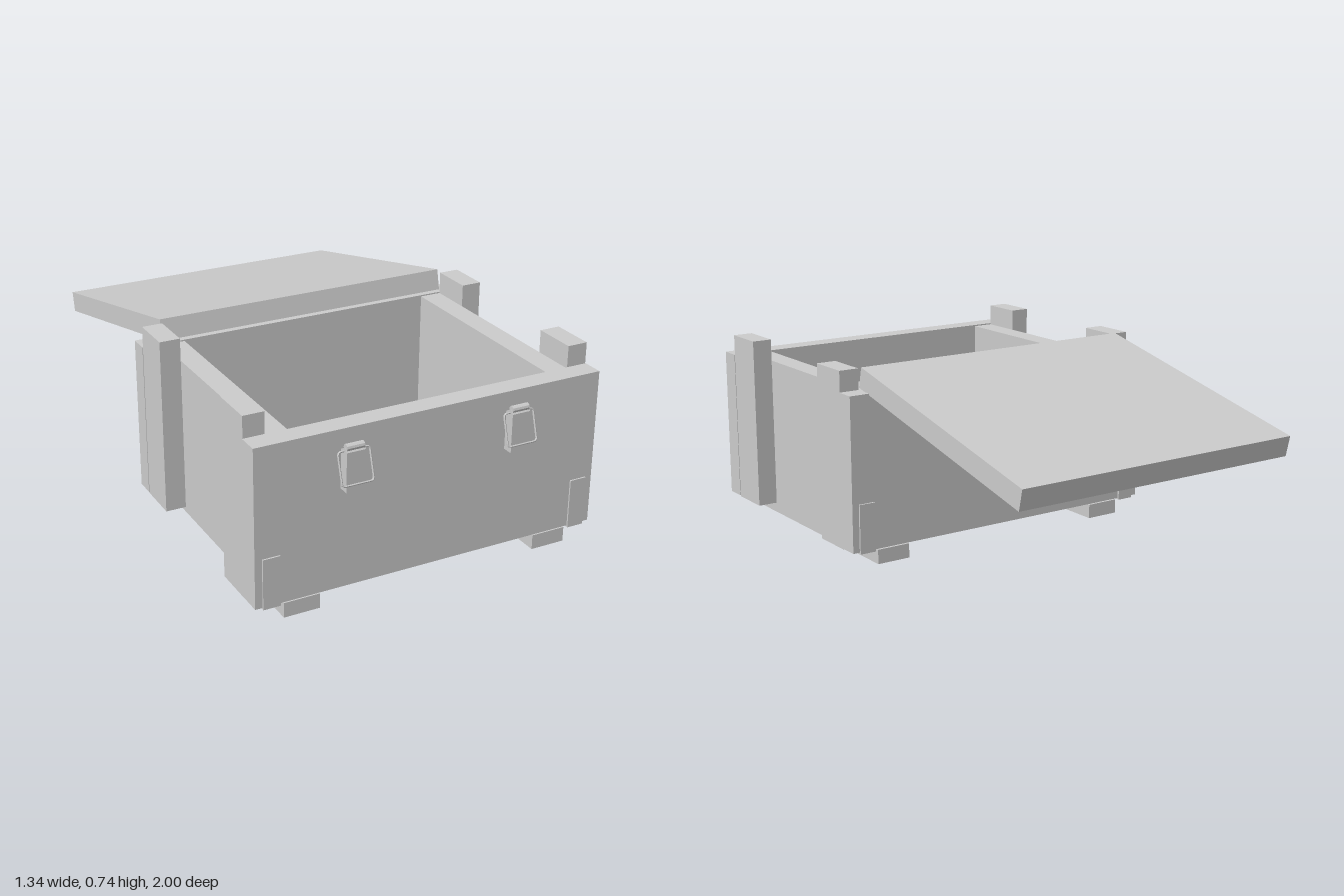
import * as THREE from 'three';

export function createModel() {
  const model = new THREE.Group();
  const mat = new THREE.MeshStandardMaterial({ color: 0xcccccc, flatShading: true });

  function add(name, geometry, parent = model) {
    const mesh = new THREE.Mesh(geometry, mat);
    mesh.name = name;
    parent.add(mesh);
    return mesh;
  }

  // Box given by its lower and upper limits on each axis
  function box(name, [x0, x1], [y0, y1], [z0, z1], parent = model) {
    const mesh = add(name, new THREE.BoxGeometry(x1 - x0, y1 - y0, z1 - z0), parent);
    mesh.position.set((x0 + x1) / 2, (y0 + y1) / 2, (z0 + z1) / 2);
    return mesh;
  }

  // Mirror an x range to the other side
  const range = (s, a, b) => (s > 0 ? [a, b] : [-b, -a]);

  // Front, back and bottom boards
  box('frontPanel', [-0.67, 0.67], [0.06, 0.65], [0.86, 0.94]);
  box('backPanel', [-0.67, 0.67], [0.06, 0.65], [-0.065, 0.01]);
  box('floor', [-0.505, 0.505], [0.06, 0.13], [0.01, 0.86]);

  for (const s of [1, -1]) {
    const side = s > 0 ? 'left' : 'right';
    box(side + 'Wall', range(s, 0.505, 0.59), [0.06, 0.645], [0.01, 0.86]);
    box(side + 'FrontPost', range(s, 0.59, 0.668), [0.056, 0.73], [0.692, 0.86]);
    box(side + 'BackPost', range(s, 0.59, 0.668), [0.056, 0.73], [0.01, 0.175]);
    box(side + 'Runner', range(s, 0.43, 0.565), [0, 0.056], [-0.065, 0.94]);

    // Thin metal straps folded under the front and back edges
    const strapX = range(s, 0.578, 0.643);
    box(side + 'FrontStrap', strapX, [0.054, 0.243], [0.94, 0.946]);
    box(side + 'FrontStrapFoot', strapX, [0.054, 0.06], [0.83, 0.946]);
    box(side + 'BackStrap', strapX, [0.054, 0.243], [-0.072, -0.065]);
    box(side + 'BackStrapFoot', strapX, [0.054, 0.06], [-0.072, 0.045]);

    model.add(createLatch(side, s * 0.32));
  }

  // Open lid, leaning back and down from its hinge edge
  const lid = add('lid', new THREE.BoxGeometry(1.18, 0.08, 1.01));
  lid.position.set(0, 0.587, -0.496);
  lid.rotation.x = -0.222;

  // Latch: mounting block, rolled pivot and a hanging wire loop
  function createLatch(side, x) {
    const latch = new THREE.Group();
    latch.name = side + 'Latch';
    latch.position.x = x;

    const profile = new THREE.Shape([
      [0.94, 0.435], [0.98, 0.435], [0.98, 0.58], [0.967, 0.595], [0.94, 0.58],
    ].map(([z, y]) => new THREE.Vector2(-z, y)));
    const block = new THREE.ExtrudeGeometry(profile, { depth: 0.07, bevelEnabled: false });
    block.translate(0, 0, -0.035).rotateY(Math.PI / 2);
    add('latchBlock', block, latch);

    const pivot = add('latchPivot', new THREE.CylinderGeometry(0.013, 0.013, 0.066, 10), latch);
    pivot.rotation.z = Math.PI / 2;
    pivot.position.set(0, 0.594, 0.967);

    // Rounded rectangle of wire, built flat and then tilted
    const w = 0.059, h = 0.058, r = 0.012;
    const path = new THREE.CurvePath();
    const corners = [[1, 1], [-1, 1], [-1, -1], [1, -1]];
    const v = (a, b) => new THREE.Vector3(a, b, 0);
    corners.forEach(([a, b], i) => {
      const [c, d] = corners[(i + 1) % 4];
      const alongX = a !== c;
      const start = alongX ? v(a * (w - r), b * h) : v(a * w, b * (h - r));
      const end = alongX ? v(c * (w - r), d * h) : v(c * w, d * (h - r));
      const next = alongX ? v(c * w, d * (h - r)) : v(c * (w - r), d * h);
      path.add(new THREE.LineCurve3(start, end));
      path.add(new THREE.QuadraticBezierCurve3(end, v(c * w, d * h), next));
    });
    const loop = add('latchLoop', new THREE.TubeGeometry(path, 64, 0.0035, 6, true), latch);
    loop.position.set(0, 0.525, 0.979);
    loop.rotation.x = -0.3;
    return latch;
  }

  return model;
}
